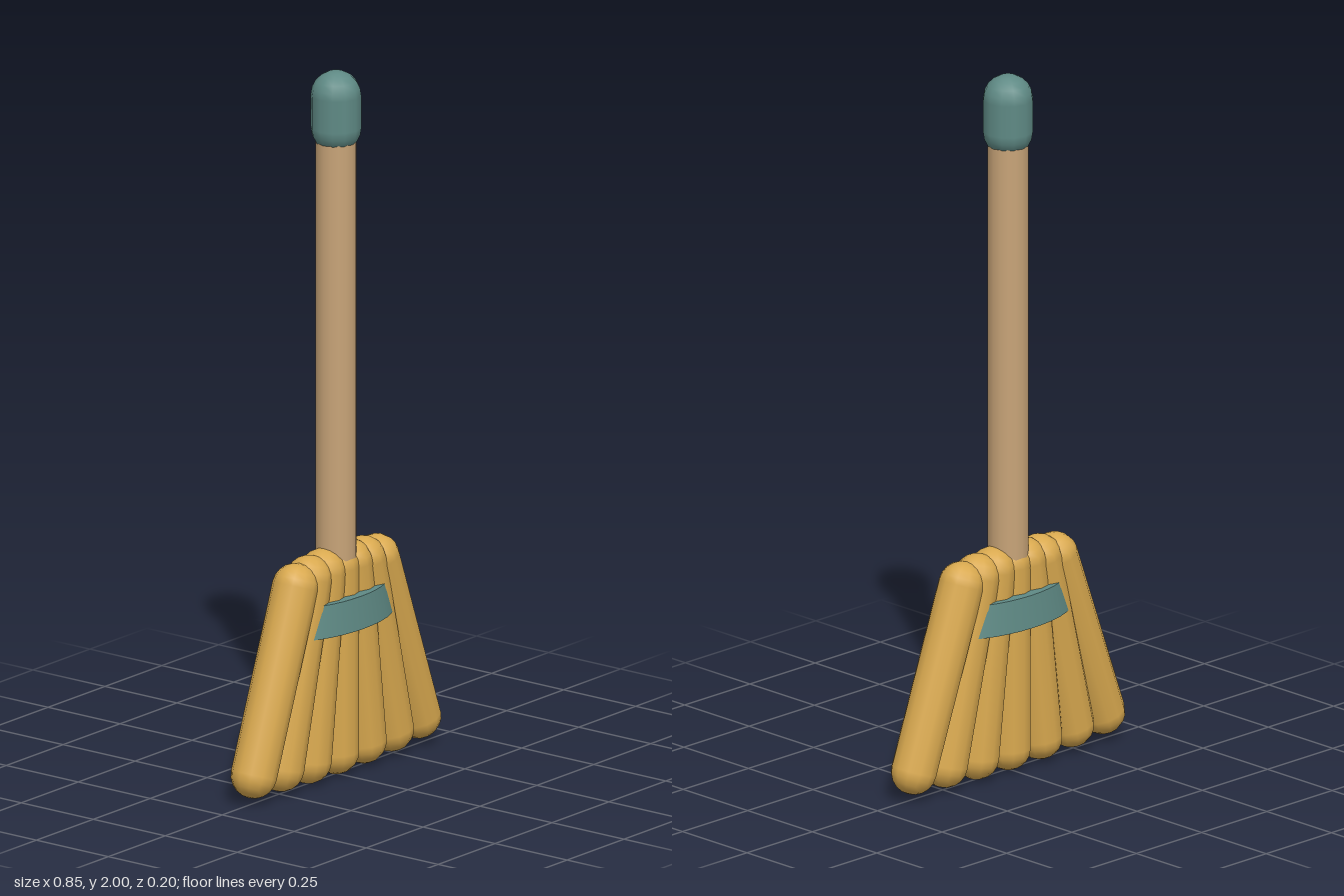
import * as THREE from 'three';

const paint = (color) => new THREE.MeshStandardMaterial({ color });

export function createModel() {
  const model = new THREE.Group();
  model.name = 'broom';
  const wood = paint(0xc8a478);
  const straw = paint(0xd9a94f);
  const teal = paint(0x5f8a85);

  const add = (name, geometry, material, x, y, parent = model) => {
    const mesh = new THREE.Mesh(geometry, material);
    mesh.name = name;
    mesh.position.set(x, y, 0);
    parent.add(mesh);
    return mesh;
  };

  // Handle, running down into the bristles
  add('handle', new THREE.CylinderGeometry(0.056, 0.056, 1.35, 16), wood, 0, 1.2);

  // Rounded grip over the top end
  add('handleCap', new THREE.CapsuleGeometry(0.07, 0.09, 5, 12), teal, 0, 1.885);

  // Seven overlapping bundles fanned out towards the floor
  const bristles = new THREE.Group();
  bristles.name = 'bristles';
  model.add(bristles);
  const bundle = new THREE.CapsuleGeometry(0.064, 0.527, 5, 12);
  for (let i = -3; i <= 3; i++) {
    add('bristleBundle', bundle, straw, i * 0.09, 0.3275, bristles).rotation.z = i * 0.117;
  }

  // Flattened, tapered band binding the bundles
  const band = add('band', new THREE.CylinderGeometry(0.195, 0.219, 0.09, 32), teal, 0, 0.475);
  band.scale.z = 0.447;

  return model;
}
